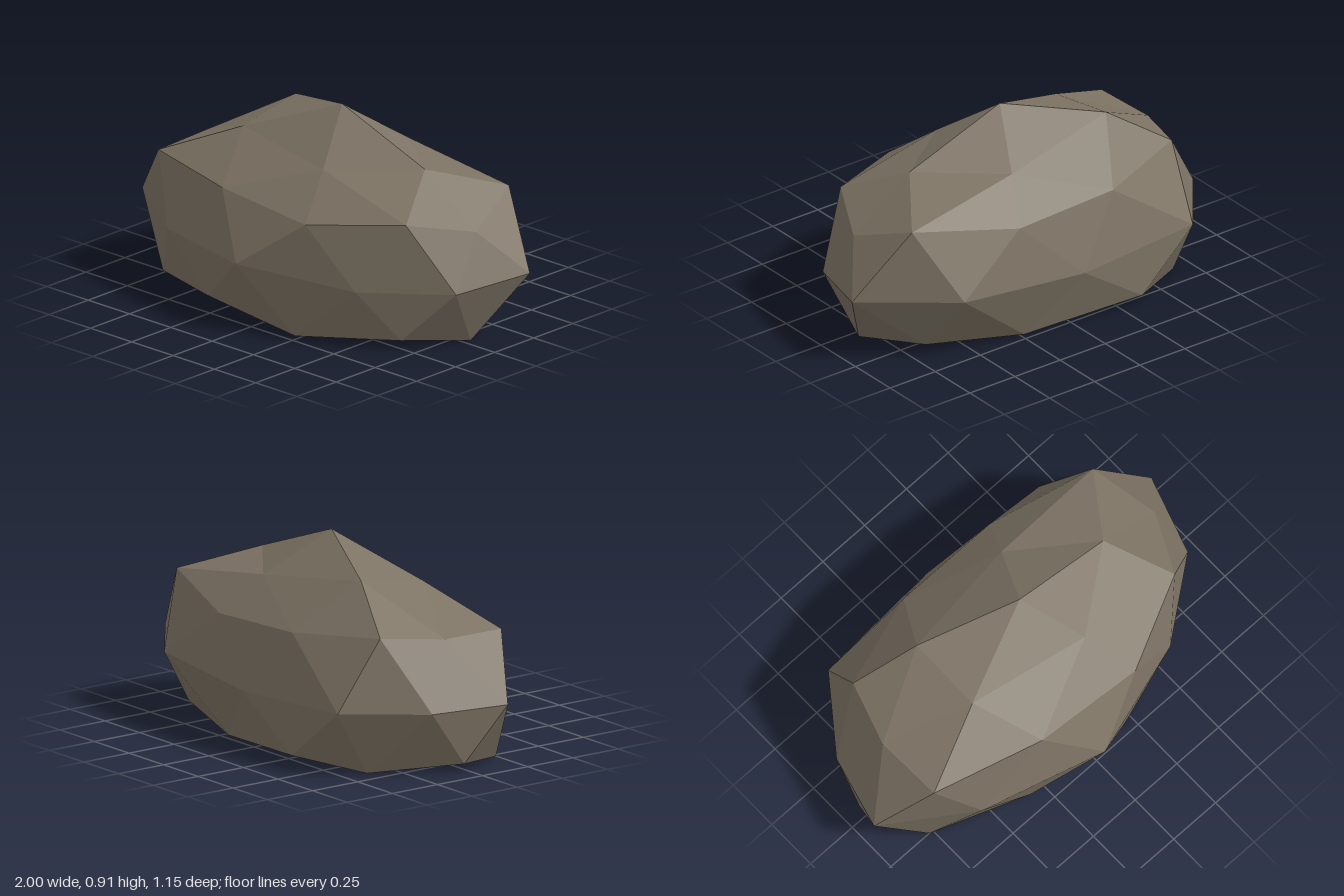
import * as THREE from 'three';

// Rings of the boulder, each running round from +x towards +z
const apex = [0.04, 0.91, -0.04];
const crown = [
  [0.54, 0.73, -0.04], [0.18, 0.71, 0.23], [-0.40, 0.74, 0.13],
  [-0.41, 0.795, -0.22], [0.18, 0.717, -0.31],
];
const shoulder = [
  [0.85, 0.515, -0.04], [0.70, 0.585, 0.25], [0.28, 0.535, 0.45], [-0.25, 0.567, 0.42], [-0.77, 0.575, 0.28],
  [-0.78, 0.58, -0.04], [-0.69, 0.61, -0.33], [-0.25, 0.57, -0.48], [0.27, 0.55, -0.485], [0.76, 0.63, -0.345],
];
const waist = [
  [0.89, 0.275, 0.13], [0.535, 0.27, 0.40], [-0.02, 0.31, 0.577], [-0.595, 0.28, 0.405], [-1.0, 0.30, 0.14],
  [-0.905, 0.29, -0.205], [-0.65, 0.29, -0.535], [-0.02, 0.272, -0.578], [0.61, 0.31, -0.53], [1.0, 0.31, -0.225],
];
const foot = [
  [0.82, 0, -0.037], [0.68, 0.043, 0.26], [0.22, 0, 0.453], [-0.33, 0.043, 0.43], [-0.77, 0, 0.25],
  [-0.92, 0.043, -0.04], [-0.66, 0, -0.38], [-0.35, 0.045, -0.56], [0.23, 0, -0.465], [0.68, 0.043, -0.34],
];
const sole = [
  [0.40, 0, 0.14], [-0.18, 0, 0.24], [-0.5, 0, -0.04], [-0.18, 0, -0.30], [0.40, 0, -0.19],
];
const baseCentre = [0, 0, -0.03];

export function createModel() {
  const stone = new THREE.MeshStandardMaterial({ color: 0x7d7364 });
  stone.name = 'stone';

  const positions = [];
  const tri = (a, b, c) => positions.push(...a, ...b, ...c);
  const at = (ring, i) => ring[(i + ring.length) % ring.length];

  // Peak: fan round the apex, then out to the shoulder
  for (let i = 0; i < 5; i++) {
    const a = crown[i], b = at(crown, i + 1), mid = at(shoulder, 2 * i + 1);
    tri(apex, b, a);
    tri(a, mid, shoulder[2 * i]);
    tri(a, b, mid);
    tri(b, at(shoulder, 2 * i + 2), mid);
  }

  // Sides: two zigzag bands, shoulder to waist and waist to foot
  for (let k = 0; k < 10; k++) {
    tri(shoulder[k], at(shoulder, k + 1), waist[k]);
    tri(shoulder[k], waist[k], at(waist, k - 1));
    tri(at(waist, k - 1), waist[k], foot[k]);
    tri(waist[k], at(foot, k + 1), foot[k]);
  }

  // Underside: nearly flat, rising a little at every second foot corner
  for (let i = 0; i < 5; i++) {
    const a = sole[i], b = at(sole, i + 1), mid = at(foot, 2 * i + 2);
    tri(baseCentre, a, b);
    tri(a, at(foot, 2 * i + 1), mid);
    tri(a, mid, b);
    tri(b, mid, at(foot, 2 * i + 3));
  }

  // Unshared corners give flat facets
  const geometry = new THREE.BufferGeometry();
  geometry.setAttribute('position', new THREE.Float32BufferAttribute(positions, 3));
  geometry.computeVertexNormals();

  const boulder = new THREE.Mesh(geometry, stone);
  boulder.name = 'boulder';
  const group = new THREE.Group();
  group.name = 'rock';
  group.add(boulder);
  return group;
}
